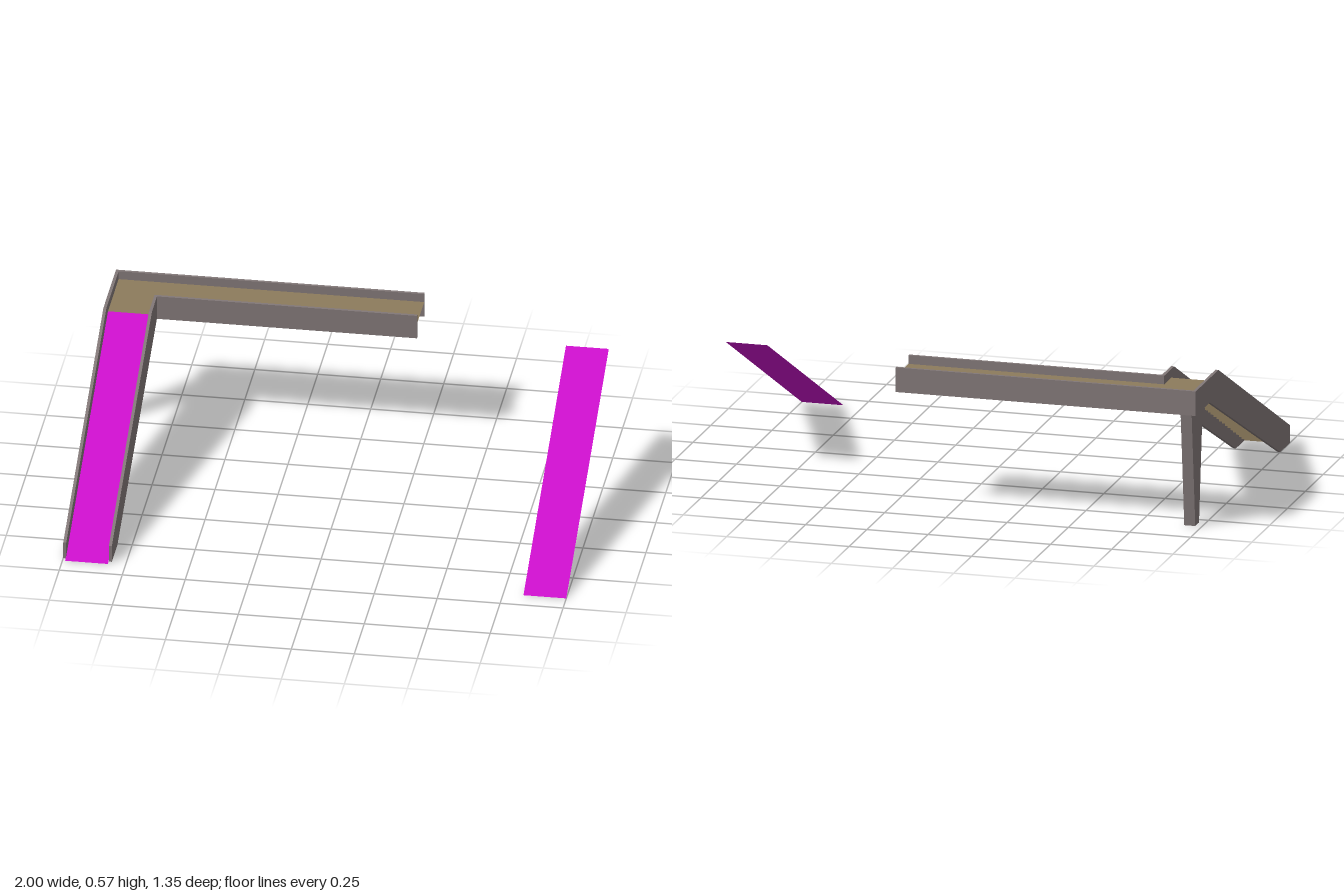
import * as THREE from 'three';

export function createModel() {
  const model = new THREE.Group();
  const mat = (name, color) => {
    const m = new THREE.MeshStandardMaterial({ color, side: THREE.DoubleSide });
    m.name = name;
    return m;
  };
  const grey = mat('greyMetal', 0x827878);
  const brown = mat('brownFloor', 0x8c7b5c);
  const magenta = mat('magentaRamp', 0xcc0fcc);

  const add = (name, geometry, material) => {
    const mesh = new THREE.Mesh(geometry, material);
    mesh.name = name;
    model.add(mesh);
    return mesh;
  };
  const T = 0.012; // wall thickness
  const FLOOR = 0.54, TOP = 0.575, LOW = 0.475;

  // Plate cut from a side profile of [z, y] points, spanning x0 to x0 + width
  const sidePlate = (points, x0, width) => {
    const shape = new THREE.Shape(points.map(([z, y]) => new THREE.Vector2(z, y)));
    return new THREE.ExtrudeGeometry(shape, { depth: width, bevelEnabled: false })
      .rotateY(-Math.PI / 2).translate(x0 + width, 0, 0);
  };

  // Sloping side walls of the stairs; the outer one runs on around the landing
  const wallProfile = (back) => [
    [0.65, 0], [0.65, 0.07], [-0.36, TOP], [back, TOP], [back, LOW], [-0.48, LOW], [0.51, 0],
  ];
  add('outerStairWall', sidePlate(wallProfile(-0.68), -1, T), grey);
  add('innerStairWall', sidePlate(wallProfile(-0.487), -0.819, T), grey);

  // Walkway walls
  const walkWall = (name, x0, x1, z) => add(name,
    new THREE.BoxGeometry(x1 - x0, TOP - LOW, T).translate((x0 + x1) / 2, (TOP + LOW) / 2, z), grey);
  walkWall('backWalkwayWall', -1, 0.225, -0.68 + T / 2);
  walkWall('frontWalkwayWall', -0.819, 0.225, -0.487 - T / 2);

  // Thin floors
  const floor = (name, x0, x1, z0, z1) => add(name,
    new THREE.PlaneGeometry(x1 - x0, z1 - z0).rotateX(-Math.PI / 2)
      .translate((x0 + x1) / 2, FLOOR, (z0 + z1) / 2), brown);
  floor('walkwayFloor', -0.988, 0.225, -0.668, -0.499);
  floor('landingFloor', -0.988, -0.819, -0.499, -0.4);

  // Folded stair surface: alternating risers and treads
  const STEPS = 27, run = 1.07 / STEPS, rise = FLOOR / STEPS;
  const pos = [];
  const strip = (z0, y0, z1, y1) => {
    const a = [-0.988, y0, z0], b = [-0.819, y0, z0], c = [-0.819, y1, z1], d = [-0.988, y1, z1];
    pos.push(...a, ...b, ...c, ...a, ...c, ...d);
  };
  for (let k = 1; k <= STEPS; k++) {
    const z = 0.67 - k * run, y = k * rise - 0.004;
    strip(z, Math.max(0, y - rise), z, y);
    if (k < STEPS) strip(z, y, z - run, y);
  }
  const stairs = new THREE.BufferGeometry();
  stairs.setAttribute('position', new THREE.Float32BufferAttribute(pos, 3));
  stairs.computeVertexNormals();
  add('stairs', stairs, brown);

  // Flat ramps: one over the stairs, one standing free
  const slope = Math.atan2(FLOOR, 1.07), length = Math.hypot(FLOOR, 1.07);
  for (const [name, x] of [['stairRamp', -0.904], ['freeRamp', 0.915]]) {
    add(name, new THREE.PlaneGeometry(0.17, length).rotateX(slope - Math.PI / 2)
      .translate(x, FLOOR / 2, 0.135), magenta);
  }

  // Tapered support leg under the corner
  add('supportLeg', sidePlate(
    [[-0.54, 0], [-0.488, LOW], [-0.488, FLOOR - 0.005], [-0.645, FLOOR - 0.005], [-0.645, LOW], [-0.593, 0]],
    -0.973, 0.045), grey);

  return model;
}
